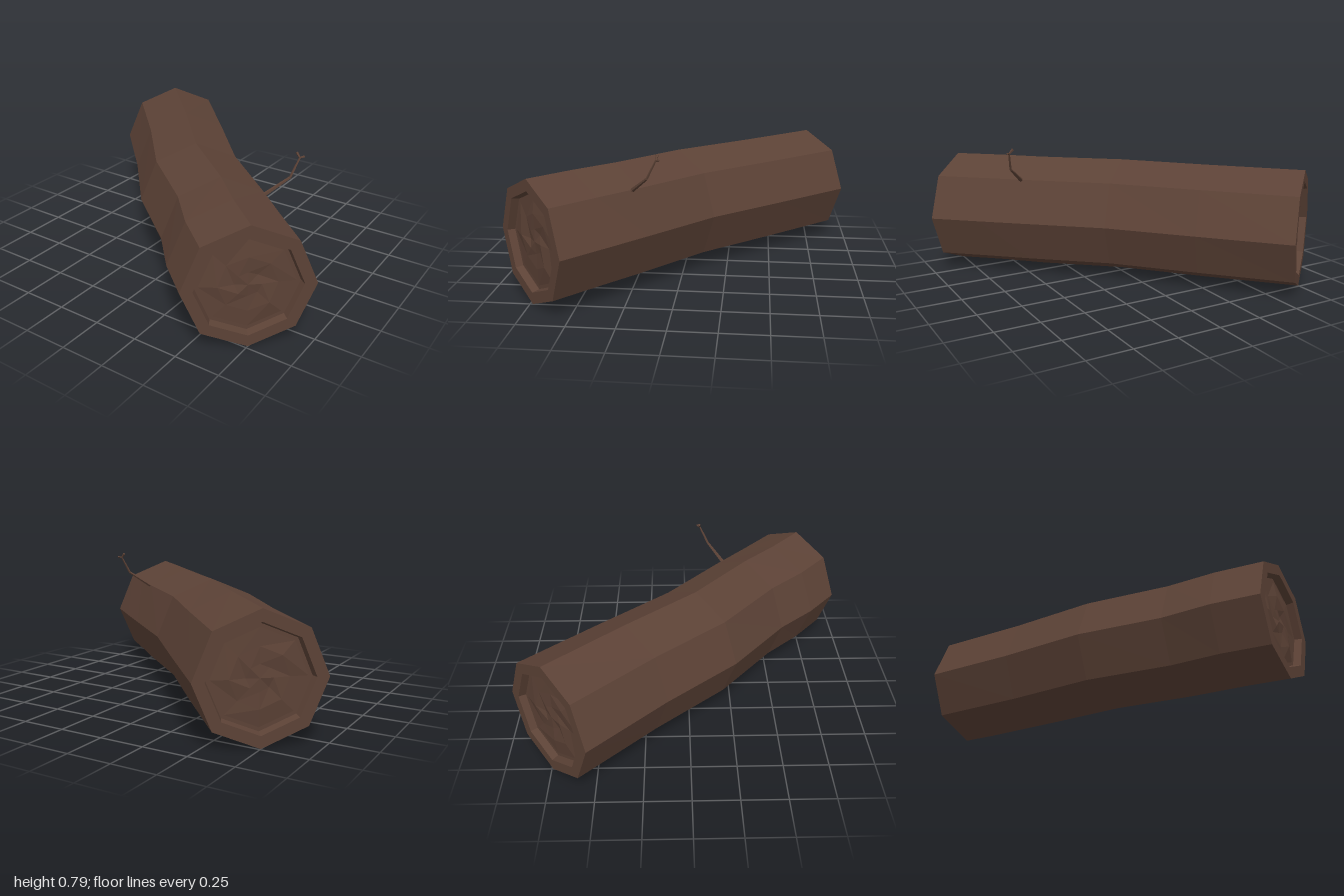
import * as THREE from 'three';

const SIDES = 8, MID = 0.341, RADIUS = 0.338;
const wood = new THREE.MeshStandardMaterial({ color: 0x5c4236, flatShading: true });

// Left and right edge of the trunk on plan at each station: [xL, zL, xR, zR]
const STATIONS = [
  [-1, -0.52, -0.5, -0.965], [-0.61, -0.12, -0.14, -0.57], [-0.27, 0.27, 0.21, -0.18],
  [0.11, 0.58, 0.58, 0.14], [0.3, 0.79, 0.78, 0.315], [0.5, 0.96, 1, 0.51],
];

// One octagonal ring: scaled about its centre, shifted along the trunk, with optional bumps
function ring([xl, zl, xr, zr], scale = 1, shift = 0, bump = 0) {
  const centre = new THREE.Vector3((xl + xr) / 2, MID, (zl + zr) / 2);
  const half = new THREE.Vector3((xr - xl) / 2, 0, (zr - zl) / 2);
  const axis = new THREE.Vector3(-half.z, 0, half.x).normalize();
  return Array.from({ length: SIDES }, (_, j) => {
    const t = (j / SIDES) * Math.PI * 2;
    const p = centre.clone().addScaledVector(half, Math.cos(t) * scale);
    p.y += Math.sin(t) * RADIUS * scale;
    return p.addScaledVector(axis, shift + bump * Math.sin(j * 2.4 + scale * 9));
  });
}

// Skin between successive rings
function loft(name, rings) {
  const pos = [];
  for (let i = 0; i + 1 < rings.length; i++) {
    for (let j = 0; j < SIDES; j++) {
      const k = (j + 1) % SIDES;
      const a = rings[i][j], b = rings[i][k], c = rings[i + 1][k], d = rings[i + 1][j];
      for (const p of [a, b, c, a, c, d]) pos.push(p.x, p.y, p.z);
    }
  }
  const geo = new THREE.BufferGeometry();
  geo.setAttribute('position', new THREE.Float32BufferAttribute(pos, 3));
  geo.computeVertexNormals();
  const mesh = new THREE.Mesh(geo, wood);
  mesh.name = name;
  return mesh;
}

// Tapered stick between two points
function stick(name, from, to, r0, r1) {
  const a = new THREE.Vector3(...from), b = new THREE.Vector3(...to);
  const dir = b.clone().sub(a);
  const mesh = new THREE.Mesh(new THREE.CylinderGeometry(r1, r0, dir.length(), 5), wood);
  mesh.position.copy(a).add(b).multiplyScalar(0.5);
  mesh.quaternion.setFromUnitVectors(new THREE.Vector3(0, 1, 0), dir.normalize());
  mesh.name = name;
  return mesh;
}

export function createModel() {
  const log = new THREE.Group();
  log.name = 'log';

  // Bark
  log.add(loft('bark', STATIONS.map((s) => ring(s))));

  // Cut ends: flat rim, recess wall, then a rough wooden face
  for (const [name, station, inward] of [['backEnd', STATIONS[0], 1], ['frontEnd', STATIONS[5], -1]]) {
    const rings = [
      ring(station), ring(station, 0.81), ring(station, 0.78, 0.04 * inward),
      ring(station, 0.72, 0.04 * inward), ring(station, 0.45, 0.032 * inward, 0.008),
      ring(station, 0.2, 0.035 * inward, 0.006), ring(station, 0, 0.03 * inward),
    ];
    log.add(loft(name, inward > 0 ? rings.reverse() : rings));
  }

  // Twig with a small fork at its tip
  const twig = new THREE.Group();
  twig.name = 'twig';
  const base = [0.53, 0.57, 0.24], elbow = [0.635, 0.665, 0.14], fork = [0.66, 0.765, 0.09];
  twig.add(
    stick('twigBase', base, elbow, 0.012, 0.007),
    stick('twigStem', elbow, fork, 0.007, 0.005),
    stick('twigTipLeft', fork, [0.678, 0.77, 0.072], 0.005, 0.006),
    stick('twigTipRight', fork, [0.638, 0.79, 0.085], 0.005, 0.008),
  );
  log.add(twig);
  return log;
}
